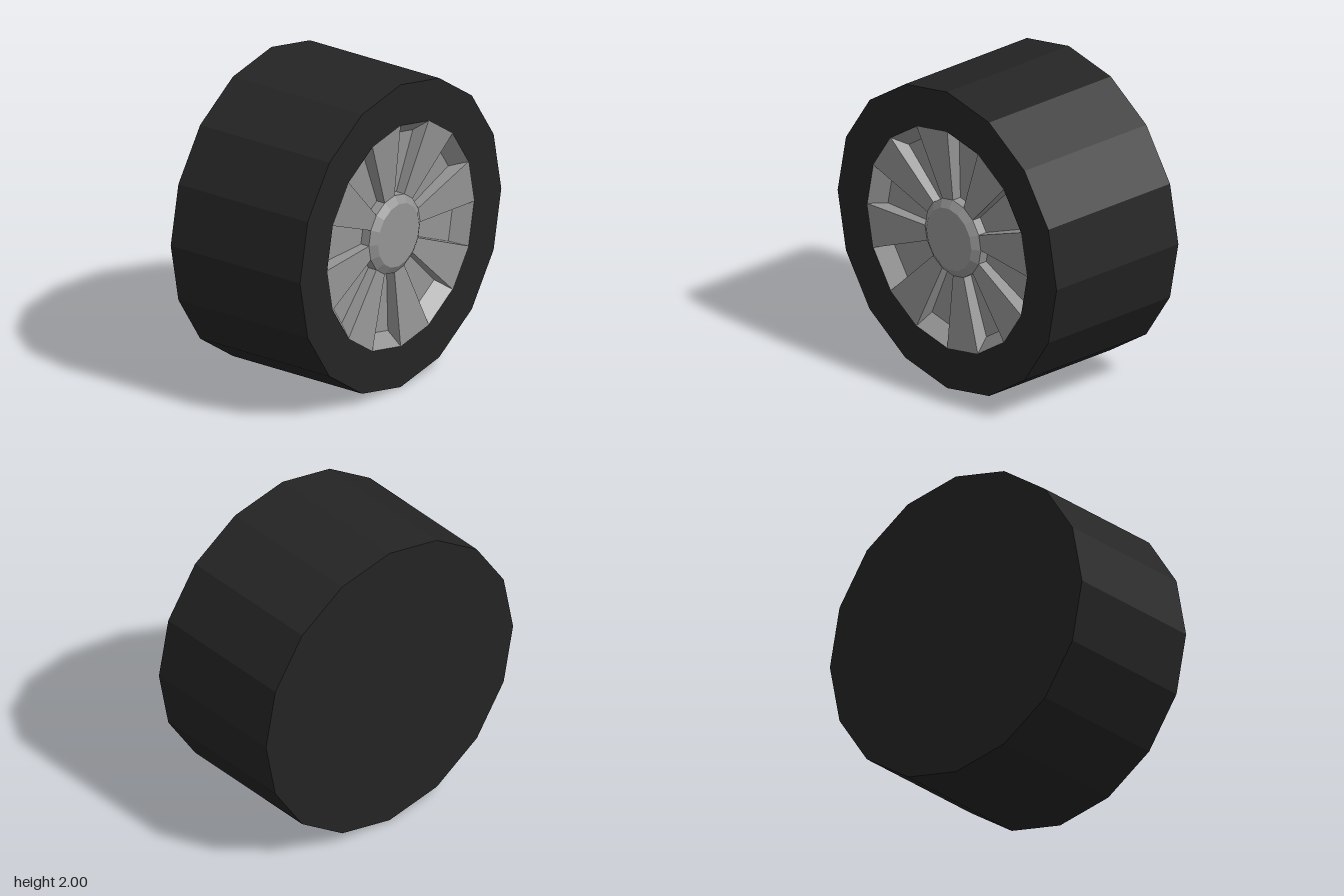
import * as THREE from 'three';

const SIDES = 16;
const HALF = 0.505;
const STEP = (Math.PI * 2) / SIDES;

// Point on the wheel from [axial position, radius] and angle
function polar([x, r], angle) {
  return [x, 1 + r * Math.sin(angle), -r * Math.cos(angle)];
}

function quadGeometry(quads) {
  const positions = [];
  for (const [a, b, c, d] of quads) positions.push(...a, ...b, ...c, ...a, ...c, ...d);
  const geometry = new THREE.BufferGeometry();
  geometry.setAttribute('position', new THREE.Float32BufferAttribute(positions, 3));
  geometry.computeVertexNormals();
  return geometry;
}

// Faceted solid turned around the x axis, from [axial position, radius] pairs
function turned(profile, material, name) {
  const points = profile.map(([x, r]) => new THREE.Vector2(r, x));
  const geometry = new THREE.LatheGeometry(points, SIDES);
  geometry.rotateZ(-Math.PI / 2);
  geometry.translate(0, 1, 0);
  const mesh = new THREE.Mesh(geometry, material);
  mesh.name = name;
  return mesh;
}

export function createModel() {
  const rubber = new THREE.MeshStandardMaterial({ color: 0x242424, flatShading: true });
  rubber.name = 'black rubber';
  const metal = new THREE.MeshStandardMaterial({ color: 0x949494, flatShading: true });
  metal.name = 'grey metal';

  const wheel = new THREE.Group();
  wheel.name = 'wheel';

  // Tyre: closed inner side, tread, and outer sidewall ring
  wheel.add(turned([[-HALF, 0], [-HALF, 1], [HALF, 1], [HALF, 0.73]], rubber, 'tyre'));

  // Bevelled hub cap
  wheel.add(turned([[0.457, 0.255], [0.49, 0.205], [0.49, 0]], metal, 'hubCap'));

  // Radial sections of the rim, as [axial position, radius]
  const hubEdge = [0.457, 0.255];
  const floorInner = [0.395, 0.255];
  const floorOuter = [0.405, 0.65];
  const rimEdge = [HALF, 0.73];
  const spokeProfile = [hubEdge, rimEdge];
  const recessProfile = [hubEdge, floorInner, floorOuter, rimEdge];

  // Alternating raised spokes and sunken recesses
  const spokes = [];
  const recesses = [];
  for (let i = 0; i < SIDES; i++) {
    const a0 = i * STEP;
    const a1 = a0 + STEP;
    const raised = i % 2 === 0;
    const profile = raised ? spokeProfile : recessProfile;
    const target = raised ? spokes : recesses;
    for (let j = 0; j < profile.length - 1; j++) {
      const p = profile[j];
      const q = profile[j + 1];
      target.push([polar(p, a0), polar(q, a0), polar(q, a1), polar(p, a1)]);
    }
    // Side walls of each spoke
    if (raised) {
      const wall = [floorInner, hubEdge, rimEdge, floorOuter];
      spokes.push(wall.map((p) => polar(p, a1)));
      spokes.push(wall.map((p) => polar(p, a0)).reverse());
    }
  }
  const spokeMesh = new THREE.Mesh(quadGeometry(spokes), metal);
  spokeMesh.name = 'spokes';
  const recessMesh = new THREE.Mesh(quadGeometry(recesses), metal);
  recessMesh.name = 'rimRecesses';
  wheel.add(spokeMesh, recessMesh);

  return wheel;
}
